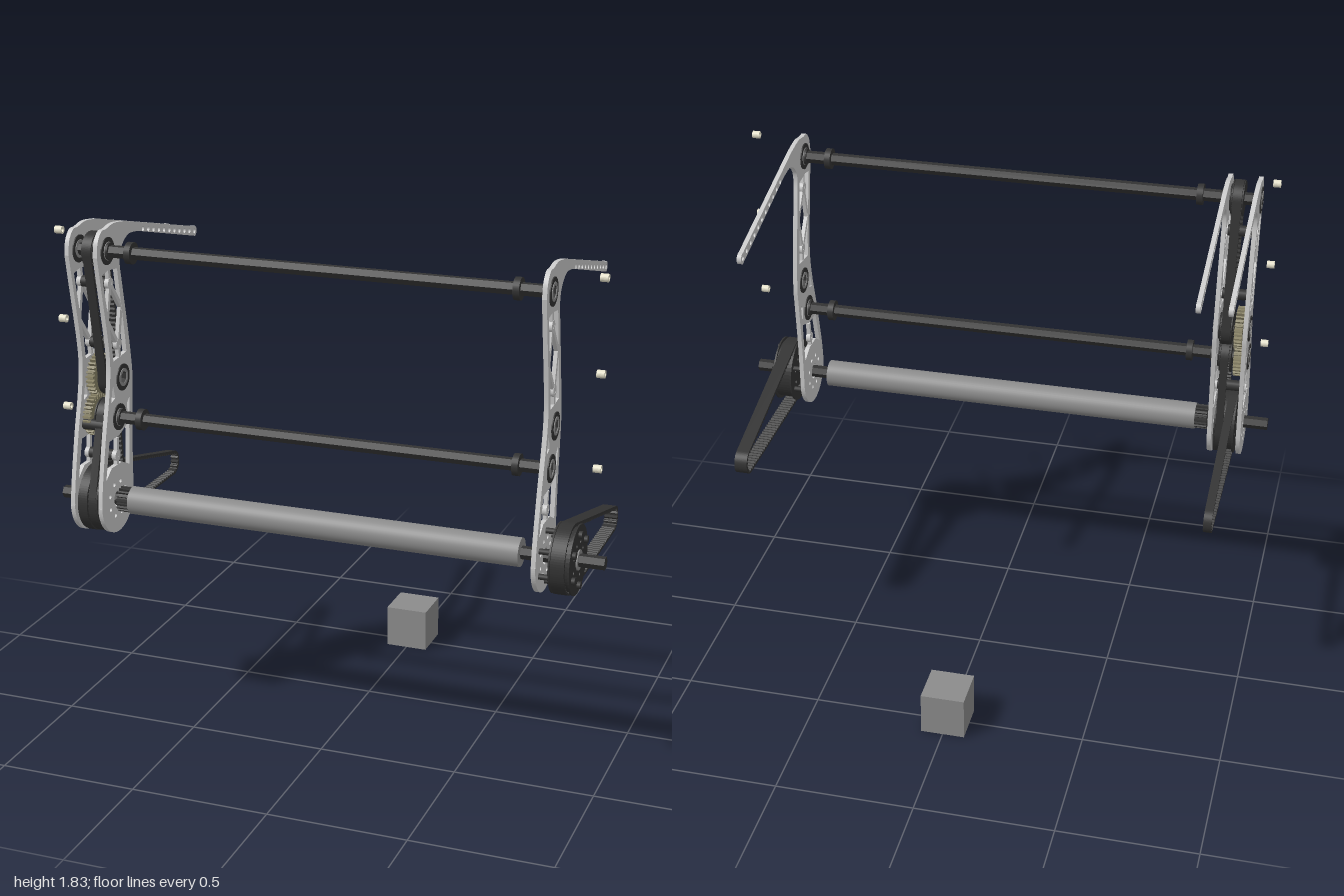
import * as THREE from 'three';

const mat = (color) => new THREE.MeshStandardMaterial({ color });
const grey = mat(0xcccccc), steel = mat(0x8c8c8c), dark = mat(0x333333), brass = mat(0x8a8468), cream = mat(0xe6e2cc);

// Axis positions as (z, y)
const V = (z, y) => new THREE.Vector2(z, y);
const TOP = V(0.464, 1.749), UPPER = V(0.388, 1.275), LOWER = V(0.427, 1.139), ROLL = V(0.461, 0.843), IDLER = V(-0.13, 0.772);
const STANDOFFS = [V(0.447, 1.63), V(0.403, 1.4), V(0.447, 1.0)];

const circle = (c, r) => new THREE.Path().absarc(c.x, c.y, r, 0, Math.PI * 2, true);
const disc = (c, r) => new THREE.Shape().absarc(c.x, c.y, r, 0, Math.PI * 2, false);
const polar = (c, r, a) => V(c.x + r * Math.cos(a), c.y + r * Math.sin(a));
const ring = (c, r, n, start = 0) => Array.from({ length: n }, (_, i) => polar(c, r, start + (i / n) * Math.PI * 2));
const hex = (c, r) => new THREE.Path(ring(c, r, 6, Math.PI / 6));

export function createModel() {
  const model = new THREE.Group();

  const add = (name, geometry, material) => {
    const mesh = new THREE.Mesh(geometry, material);
    mesh.name = name;
    model.add(mesh);
    return mesh;
  };

  // Extrude a (z, y) shape along x from x0 to x1
  const slab = (name, shape, x0, x1, material) => {
    const g = new THREE.ExtrudeGeometry(shape, { depth: x1 - x0, bevelEnabled: false, curveSegments: 24 });
    g.rotateY(-Math.PI / 2).translate(x1, 0, 0);
    return add(name, g, material);
  };

  // Rod along x
  const rod = (name, c, r, x0, x1, material, sides = 24) => {
    const g = new THREE.CylinderGeometry(r, r, x1 - x0, sides);
    if (sides === 6) { g.deleteAttribute('normal'); }
    const geo = sides === 6 ? g.toNonIndexed() : g;
    if (sides === 6) geo.computeVertexNormals();
    geo.rotateZ(Math.PI / 2).translate((x0 + x1) / 2, c.y, c.x);
    return add(name, geo, material);
  };

  // Flat bar between two (z, y) points
  const strut = (a, b, w, x0, x1) => {
    const g = new THREE.BoxGeometry(x1 - x0, w, a.distanceTo(b));
    g.rotateX(-Math.atan2(b.y - a.y, b.x - a.x));
    g.translate((x0 + x1) / 2, (a.y + b.y) / 2, (a.x + b.x) / 2);
    add('plateStrut', g, grey);
  };

  // Side plate: curved rails, windows and a perforated arm reaching back
  const sidePlate = (x0, x1) => {
    const s = new THREE.Shape();
    s.moveTo(0.583, 0.843);
    s.splineThru([V(0.573, 0.92), V(0.534, 1.09), V(0.495, 1.23), V(0.478, 1.33), V(0.485, 1.43), V(0.515, 1.6), V(0.54, 1.74)]);
    s.splineThru([V(0.53, 1.79), V(0.5, 1.823), V(0.464, 1.826), V(0.405, 1.834), V(0.32, 1.823)]);
    s.lineTo(-0.238, 1.684);
    s.absarc(-0.243, 1.664, 0.02, 1.33, 4.47, false);
    s.lineTo(0.225, 1.767);
    s.splineThru([V(0.3, 1.772), V(0.355, 1.74), V(0.374, 1.69), V(0.36, 1.6), V(0.33, 1.43), V(0.311, 1.28), V(0.316, 1.2), V(0.33, 1.04), V(0.337, 0.87)]);
    s.absarc(ROLL.x, ROLL.y, 0.124, Math.PI, Math.PI * 2, false);

    const window = (...p) => s.holes.push(new THREE.Path(p.map(([z, y]) => V(z, y))));
    window([0.508, 1.672], [0.465, 1.68], [0.396, 1.672], [0.385, 1.6], [0.358, 1.43], [0.35, 1.36], [0.39, 1.355], [0.452, 1.35], [0.46, 1.43], [0.49, 1.58]);
    window([0.508, 1.07], [0.43, 1.072], [0.352, 1.1], [0.354, 1.04], [0.362, 0.94], [0.42, 0.968], [0.5, 0.968], [0.545, 0.935]);
    window([0.482, 1.205], [0.45, 1.215], [0.462, 1.26], [0.47, 1.25]);
    window([0.34, 1.19], [0.364, 1.17], [0.36, 1.125], [0.347, 1.13]);
    [TOP, UPPER, LOWER].forEach((c) => s.holes.push(circle(c, 0.044)));
    s.holes.push(circle(ROLL, 0.03));
    ring(ROLL, 0.063, 8, 0.39).forEach((c) => s.holes.push(circle(c, 0.008)));
    for (let i = 0; i < 11; i++) {
      const t = i / 10;
      s.holes.push(circle(V(0.184 - 0.427 * t, 1.766 - 0.102 * t), 0.009));
    }
    slab('sidePlate', s, x0, x1, grey);

    // Lattice struts inside the windows
    const [a, b, c] = STANDOFFS, left = V(0.478, 1.5), right = V(0.371, 1.53);
    [[a, left], [left, b], [a, right], [right, b], [a, V(0.455, 1.69)], [b, V(0.397, 1.345)],
      [c, V(0.44, 1.065)], [c, V(0.45, 0.955)]].forEach(([p, q]) => strut(p, q, 0.016, x0 + 0.001, x1 - 0.001));
    STANDOFFS.forEach((p) => {
      const boss = disc(p, 0.02);
      boss.holes.push(circle(p, 0.008));
      slab('strutBoss', boss, x0, x1, grey);
    });

    // Bearings with hexagonal bores
    [TOP, UPPER, LOWER].forEach((p) => {
      const outer = disc(p, 0.048);
      outer.holes.push(hex(p, 0.022));
      slab('bearing', outer, x0 - 0.004, x1 + 0.004, dark);
      const race = disc(p, 0.032);
      race.holes.push(hex(p, 0.023));
      slab('bearingRace', race, x0 - 0.006, x1 + 0.006, steel);
    });
  };
  [[-0.912, -0.896], [-0.804, -0.788], [0.778, 0.794]].forEach(([a, b]) => sidePlate(a, b));

  // Spur gear or toothed pulley with a hexagonal bore
  const gear = (name, c, r, depth, teeth, x0, x1, material) => {
    const pts = [];
    for (let i = 0; i < teeth; i++) {
      [[0, -1], [0.3, -1], [0.42, 1], [0.78, 1], [0.9, -1]].forEach(([f, k]) =>
        pts.push(polar(c, r + (k * depth) / 2, ((i + f) / teeth) * Math.PI * 2)));
    }
    const s = new THREE.Shape(pts);
    s.holes.push(hex(c, 0.023));
    return slab(name, s, x0, x1, material);
  };
  gear('upperGear', UPPER, 0.072, 0.012, 28, -0.893, -0.864, brass);
  gear('lowerGear', LOWER, 0.07, 0.012, 28, -0.893, -0.864, brass);
  [TOP, UPPER, LOWER].forEach((c) => {
    gear('smallPulley', c, 0.055, 0.005, 26, -0.85, -0.815, dark);
    [-0.854, -0.815].forEach((x) => {
      const flange = disc(c, 0.064);
      flange.holes.push(hex(c, 0.023));
      slab('pulleyFlange', flange, x, x + 0.004, dark);
    });
  });

  // Toothed belt around two wheels
  const belt = (name, c1, r1, c2, r2, x0, x1) => {
    const d = c2.clone().sub(c1), theta = d.angle(), a = Math.acos((r1 - r2) / d.length());
    const trace = (path, off) => {
      path.absarc(c1.x, c1.y, r1 + off, theta + a, theta - a + Math.PI * 2, false);
      path.absarc(c2.x, c2.y, r2 + off, theta - a, theta + a, false);
      path.closePath();
      return path;
    };
    const shape = trace(new THREE.Shape(), 0.004);
    const inner = trace(new THREE.Path(), -0.003);
    const n = Math.round(inner.getLength() / 0.018) * 4;
    const pts = inner.getSpacedPoints(n).slice(0, n);
    const toothed = pts.map((p, i) => {
      const t = pts[(i + 1) % n].clone().sub(pts[(i + n - 1) % n]).normalize();
      const k = i % 4 < 2 ? 0.007 : 0;
      return V(p.x - t.y * k, p.y + t.x * k);
    });
    shape.holes.push(new THREE.Path(toothed));
    slab(name, shape, x0, x1, dark);
  };
  belt('upperBelt', TOP, 0.062, UPPER, 0.062, -0.849, -0.817);
  belt('lowerBelt', LOWER, 0.062, ROLL, 0.116, -0.845, -0.817);
  belt('leftTrackBelt', ROLL, 0.118, IDLER, 0.043, 0.842, 0.89);
  belt('rightTrackBelt', ROLL, 0.118, IDLER, 0.043, -0.88, -0.85);

  // Large drive pulleys with lightening holes
  const bigPulley = (x0, x1) => {
    const wheel = (r) => {
      const s = disc(ROLL, r);
      s.holes.push(hex(ROLL, 0.023));
      ring(ROLL, 0.063, 8, 0.39).forEach((c) => s.holes.push(circle(c, 0.008)));
      return s;
    };
    slab('drivePulley', wheel(0.11), x0, x1, dark);
    [x0, x1 - 0.006].forEach((x) => slab('drivePulleyFlange', wheel(0.121), x, x + 0.006, dark));
  };
  bigPulley(-0.886, -0.81);
  bigPulley(0.834, 0.907);

  // Bolts and spacers holding the drive pulley to the plate
  ring(ROLL, 0.09, 6, 0.52).forEach((c) => {
    rod('pulleySpacer', c, 0.01, 0.794, 0.834, dark, 12);
    rod('pulleyBolt', c, 0.013, 0.905, 0.919, dark, 12);
  });
  const hub = disc(ROLL, 0.035);
  hub.holes.push(hex(ROLL, 0.023));
  slab('pulleyHub', hub, 0.9, 0.912, steel);

  // Standoffs joining the paired plates
  [...STANDOFFS, V(0.485, 1.12)].forEach((c) => rod('standoff', c, 0.02, -0.896, -0.804, dark, 16));

  // Hexagonal cross shafts with clamp collars
  [TOP, LOWER].forEach((c) => {
    rod('crossShaft', c, 0.0225, -0.918, 0.786, dark, 6);
    [-0.697, 0.68].forEach((x) => rod('shaftCollar', c, 0.038, x - 0.011, x + 0.011, dark));
    [-0.788, 0.764].forEach((x) => rod('shaftSpacer', c, 0.03, x, x + 0.014, dark));
  });

  // Roller on its through shaft
  rod('rollerShaft', ROLL, 0.023, -1, 1, dark, 6);
  rod('roller', ROLL, 0.05, -0.729, 0.712, steel, 40);
  gear('rollerCoupling', ROLL, 0.042, 0.008, 18, -0.775, -0.729, dark);

  // Loose spacers beside the frame
  [-0.963, 0.963].forEach((x) => [1.812, 1.496, 1.175].forEach((y) => {
    const c = V(0.475, y), s = disc(c, 0.0135);
    s.holes.push(circle(c, 0.007));
    slab('looseSpacer', s, x - 0.0135, x + 0.0135, cream);
  }));

  // Separate block standing on the ground
  add('block', new THREE.BoxGeometry(0.16, 0.16, 0.16), steel).position.set(0, 0.08, -0.507);

  return model;
}
